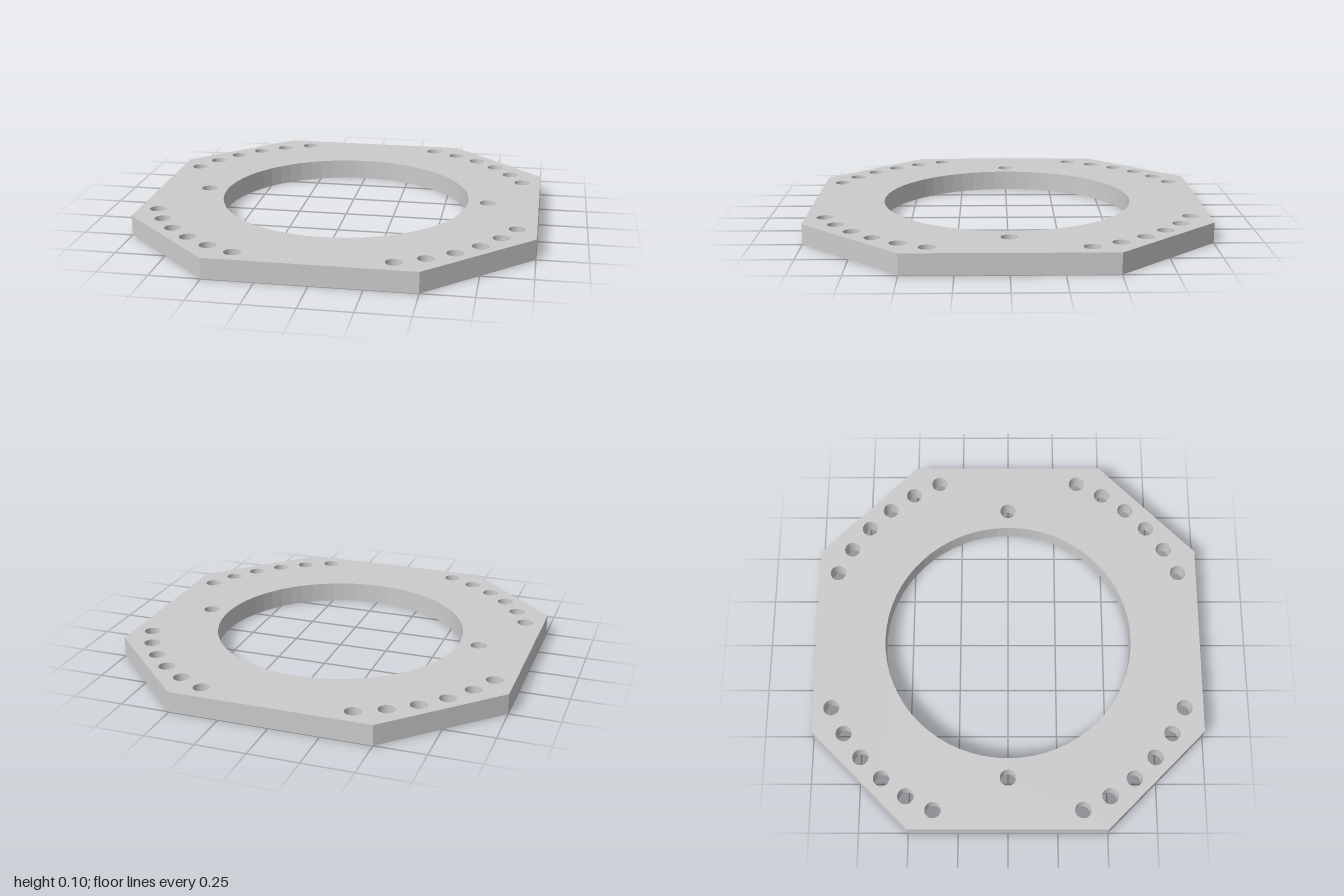
import * as THREE from 'three';

const THICKNESS = 0.103;

function addHole(shape, x, y, radius) {
  const hole = new THREE.Path();
  hole.absarc(x, y, radius, 0, Math.PI * 2, true);
  shape.holes.push(hole);
}

export function createModel() {
  const group = new THREE.Group();
  group.name = 'octagonalMountingPlate';

  // Octagonal outline: a square with its corners cut off
  const outline = [[1, -0.5], [1, 0.5], [0.5, 1], [-0.5, 1], [-1, 0.5], [-1, -0.5], [-0.5, -1], [0.5, -1]];
  const shape = new THREE.Shape(outline.map(([x, y]) => new THREE.Vector2(x, y)));

  // Large central opening
  addHole(shape, 0, 0, 0.64);

  // Six bolt holes on an arc along each cut corner
  for (let corner = 0; corner < 4; corner++) {
    for (let i = 0; i < 6; i++) {
      const angle = THREE.MathUtils.degToRad(corner * 90 + 22.5 + i * 9);
      addHole(shape, 0.978 * Math.cos(angle), 0.978 * Math.sin(angle), 0.041);
    }
  }

  // Single hole on each side of the opening
  for (const side of [-1, 1]) addHole(shape, side * 0.74, 0, 0.041);

  // Extrude the plate and lay it flat on the ground
  const geometry = new THREE.ExtrudeGeometry(shape, { depth: THICKNESS, bevelEnabled: false, curveSegments: 32 });
  geometry.rotateX(-Math.PI / 2);

  const plate = new THREE.Mesh(geometry, new THREE.MeshStandardMaterial({ color: 0xcccccc }));
  plate.name = 'plate';
  group.add(plate);
  return group;
}
